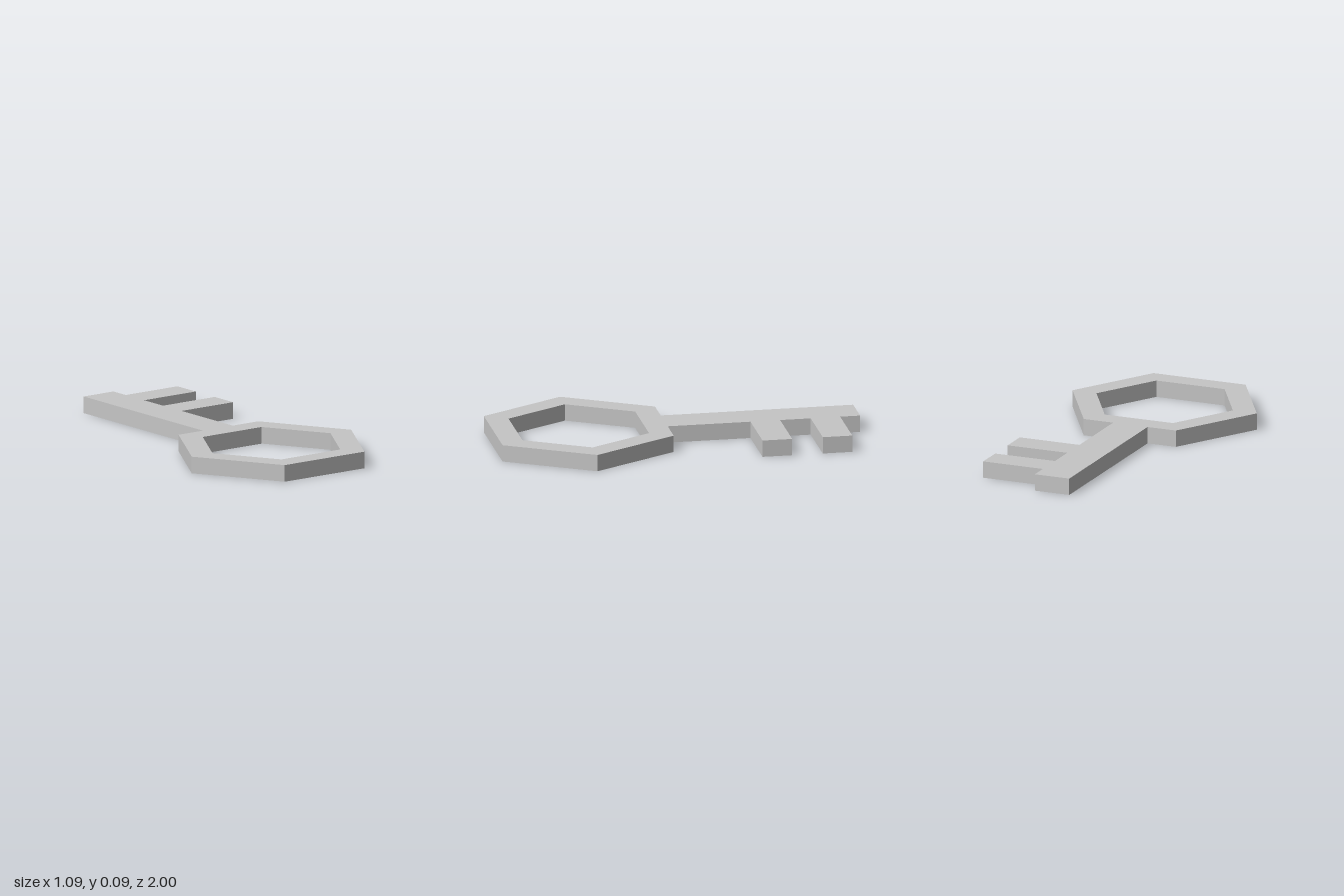
import * as THREE from 'three';

const THICKNESS = 0.092;

// Extrude a flat plan, given as [x, z] points, upward from y = 0
function plate(name, outline, material, hole) {
  const toPoints = (list) => list.map(([x, z]) => new THREE.Vector2(x, -z));
  const shape = new THREE.Shape(toPoints(outline));
  if (hole) shape.holes.push(new THREE.Path(toPoints(hole)));
  const geometry = new THREE.ExtrudeGeometry(shape, { depth: THICKNESS, bevelEnabled: false });
  geometry.rotateX(-Math.PI / 2);
  const mesh = new THREE.Mesh(geometry, material);
  mesh.name = name;
  return mesh;
}

// Hexagon with corners pointing to both sides
function hexagon(radius, centerZ) {
  return Array.from({ length: 6 }, (_, i) => {
    const a = (i * Math.PI) / 3;
    return [radius * Math.cos(a), centerZ - radius * Math.sin(a)];
  });
}

export function createModel() {
  const group = new THREE.Group();
  group.name = 'key';
  const metal = new THREE.MeshStandardMaterial({ color: 0xc6c6c6, flatShading: true });
  metal.name = 'grey metal';

  // Hexagonal ring handle
  const centerZ = 0.528;
  group.add(plate('bow', hexagon(0.543, centerZ), metal, hexagon(0.402, centerZ)));

  // Shaft with two teeth on one side
  const left = -0.105, right = 0.098, tip = 0.45, joint = 0.058;
  const teeth = [[-0.397, -0.56], [-0.728, -0.89]];
  const outline = [[left, joint], [right, joint]];
  for (const [near, far] of teeth) {
    outline.push([right, near], [tip, near], [tip, far], [right, far]);
  }
  outline.push([right, -1], [left, -1]);
  group.add(plate('shaftAndTeeth', outline, metal));

  return group;
}
